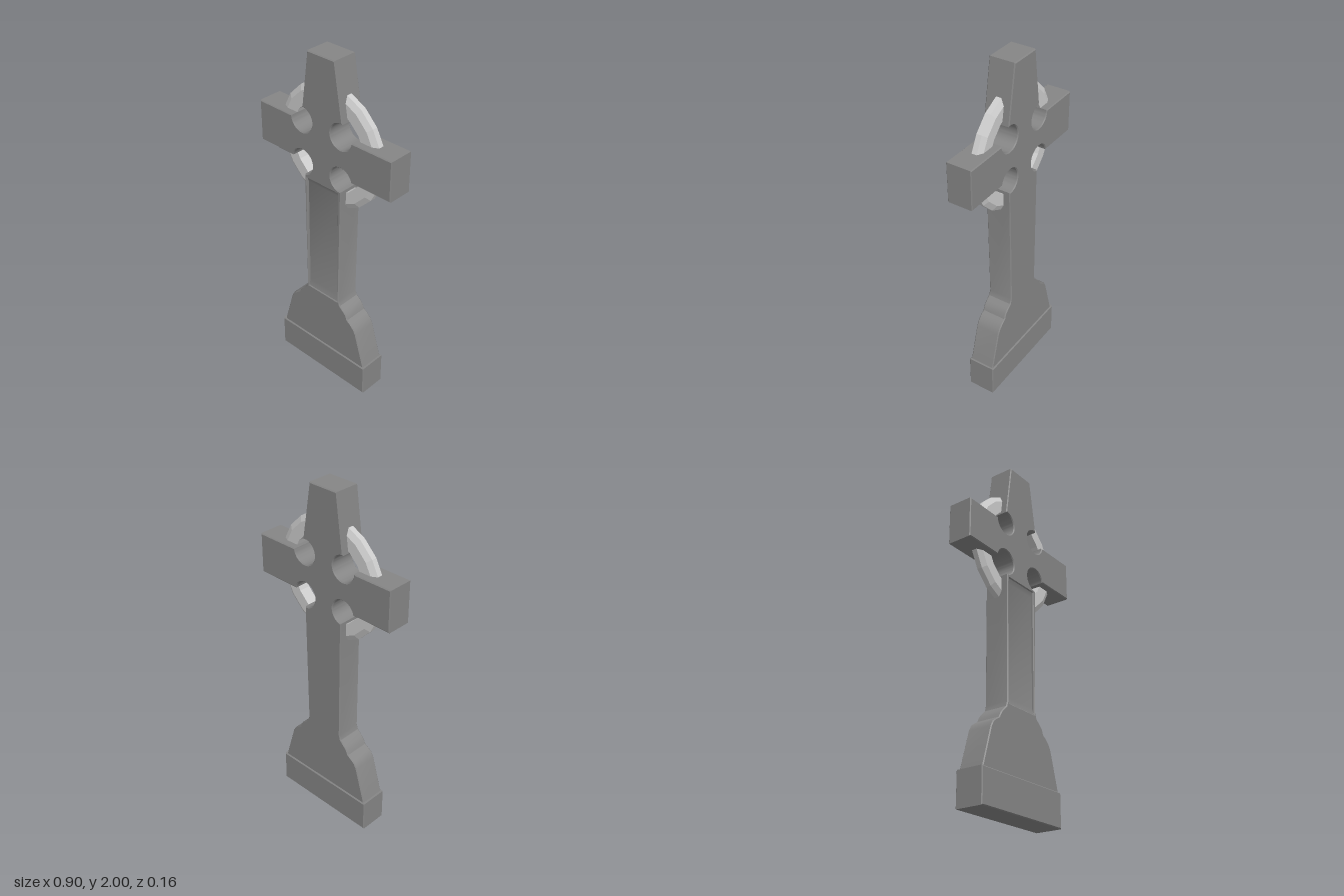
import * as THREE from 'three';
import { toCreasedNormals } from 'three/addons/utils/BufferGeometryUtils.js';

const stone = new THREE.MeshStandardMaterial({ color: 0x858585 });
const paleStone = new THREE.MeshStandardMaterial({ color: 0xcccccc, flatShading: true });

// Extrude a shape to a given thickness, centred on z, with a small chamfer
function slab(shape, thickness, bevel) {
  const geometry = new THREE.ExtrudeGeometry(shape, {
    depth: thickness - 2 * bevel, bevelEnabled: bevel > 0, bevelThickness: bevel,
    bevelSize: bevel, bevelOffset: -bevel, bevelSegments: 1, curveSegments: 20,
  });
  geometry.translate(0, 0, -thickness / 2 + bevel);
  return toCreasedNormals(geometry, 0.5);
}

const polygon = (points) => new THREE.Shape(points.map(([x, y]) => new THREE.Vector2(x, y)));

function part(group, name, geometry, material) {
  const mesh = new THREE.Mesh(geometry, material);
  mesh.name = name;
  group.add(mesh);
  return mesh;
}

// Whole cross outline, with round notches bitten out of the four inner corners
function crossShape() {
  const s = new THREE.Shape();
  const lines = (points) => points.forEach(([x, y]) => s.lineTo(x, y));
  const notch = (x, y, from, to) =>
    s.absarc(x, y, 0.071, THREE.MathUtils.degToRad(from), THREE.MathUtils.degToRad(to), true);
  s.moveTo(-0.32, 0.18);
  lines([[0.31, 0.18], [0.246, 0.4], [0.23, 0.43], [0.205, 0.455], [0.182, 0.47], [0.17, 0.5],
    [0.15, 0.52], [0.125, 0.54], [0.114, 0.57], [0.127, 1.28]]);
  notch(0.124, 1.366, -88, -349);
  lines([[0.45, 1.38], [0.45, 1.607]]);
  notch(0.124, 1.613, -5, -278);
  lines([[0.082, 2], [-0.098, 2]]);
  notch(-0.143, 1.613, 88, -180);
  lines([[-0.45, 1.615], [-0.45, 1.38]]);
  notch(-0.143, 1.366, 169, -80);
  lines([[-0.126, 0.57], [-0.135, 0.54], [-0.167, 0.51], [-0.182, 0.49], [-0.193, 0.467],
    [-0.22, 0.45], [-0.24, 0.435], [-0.257, 0.403]]);
  s.closePath();
  return s;
}

export function createModel() {
  const group = new THREE.Group();
  group.name = 'ringedStoneCross';

  // Plinth
  part(group, 'plinth',
    slab(polygon([[-0.33, 0], [0.318, 0], [0.318, 0.19], [-0.33, 0.19]]), 0.162, 0.005), stone);

  // Cross body, open where the shaft panel sits
  const left = -0.115, right = 0.103, low = 0.56, high = 1.278, chamfer = 0.005;
  const shape = crossShape();
  shape.holes.push(polygon([[left, low], [left, high], [right, high], [right, low]]));
  part(group, 'crossBody', slab(shape, 0.146, chamfer), stone);

  // Shaft panel: flush at the back, sunk at the front with sloping ends
  const profile = polygon([[-0.073, low - chamfer], [0.069, low - chamfer], [0.058, low + 0.035],
    [0.058, high - 0.025], [0.069, high + chamfer], [-0.073, high + chamfer]]);
  const panel = part(group, 'shaftPanel', slab(profile, right - left + 2 * chamfer, 0), stone);
  panel.rotation.y = -Math.PI / 2;
  panel.position.x = (left + right) / 2;

  // Ring behind the arms, chamfered on its outer edge
  const section = [[0.25, -0.033], [0.315, -0.033], [0.345, -0.015], [0.345, 0.015],
    [0.315, 0.033], [0.25, 0.033], [0.25, -0.033]].map(([r, y]) => new THREE.Vector2(r, y));
  const ring = part(group, 'ring', new THREE.LatheGeometry(section, 20), paleStone);
  ring.rotation.x = Math.PI / 2;
  ring.position.set(0, 1.49, 0);

  return group;
}
